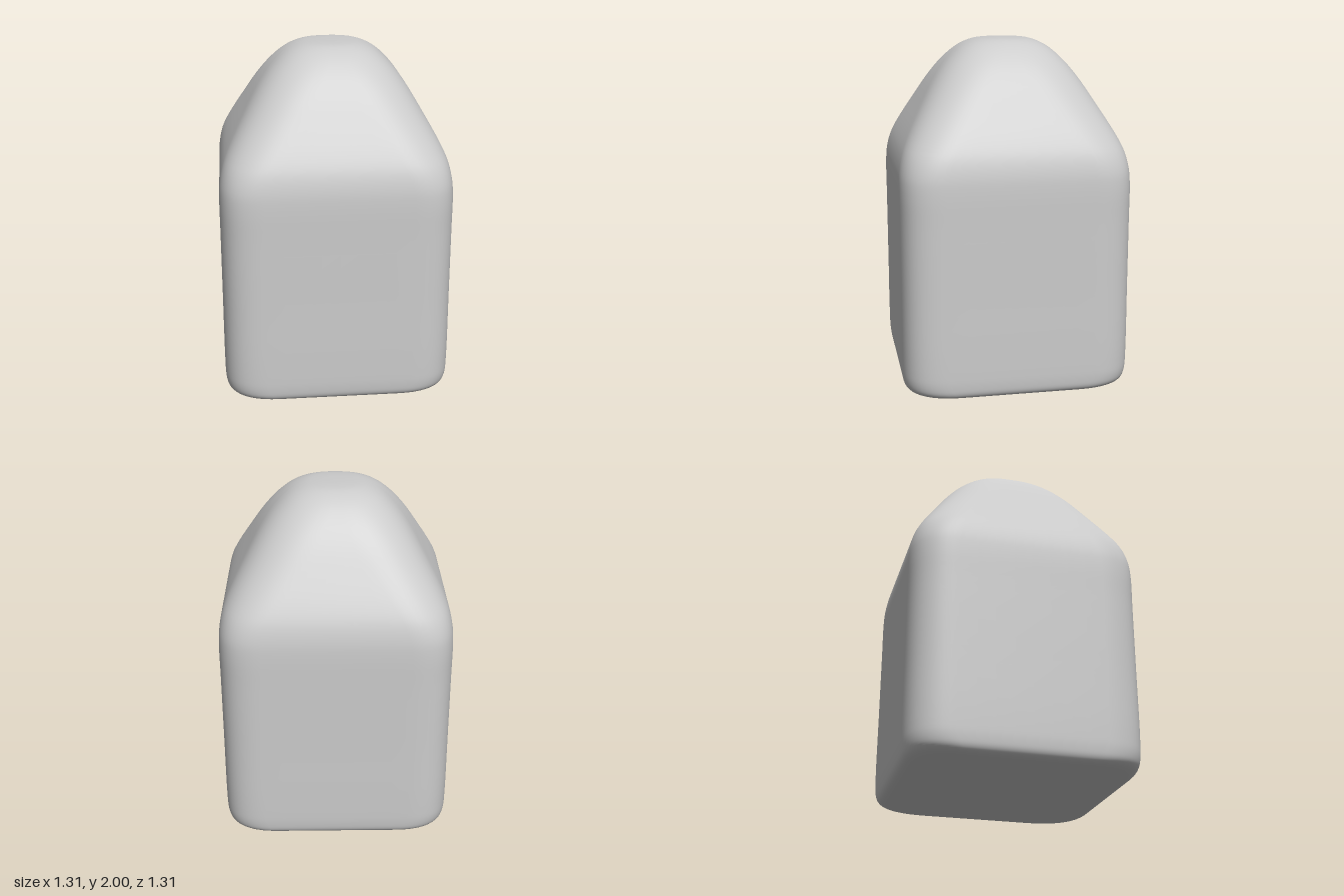
import * as THREE from 'three';

// Each row: half width, height, corner softness (0 = square, 1 = fully rounded)
const PROFILE = [
  [0, 0, 0.6], [0.3, 0.002, 0.6], [0.45, 0.005, 0.55], [0.56, 0.012, 0.5], [0.62, 0.026, 0.45],
  [0.644, 0.052, 0.41], [0.653, 0.1, 0.38], [0.656, 0.2, 0.37], [0.656, 0.6, 0.37], [0.656, 1.0, 0.37],
  [0.656, 1.2, 0.37], [0.65, 1.29, 0.38], [0.632, 1.375, 0.41], [0.6, 1.455, 0.46], [0.51, 1.62, 0.58],
  [0.41, 1.785, 0.72], [0.33, 1.885, 0.82], [0.25, 1.953, 0.9], [0.17, 1.988, 0.96], [0.09, 1.998, 1], [0, 2, 1],
];
const FLAT = 4, ROUND = 12, LEVELS = 100;

// Square outline of half width 1 with soft corners, as [x, z] pairs
function softSquare(e) {
  const quarter = [];
  for (let i = 0; i < FLAT; i++) quarter.push([1, ((1 - e) * i) / FLAT]);
  for (let i = 0; i <= ROUND; i++) {
    const t = i / ROUND;
    quarter.push([1 - e * t * t, 1 - e * (1 - t) * (1 - t)]);
  }
  for (let i = 1; i < FLAT; i++) quarter.push([(1 - e) * (1 - i / FLAT), 1]);
  const ring = [];
  for (let k = 0; k < 4; k++) {
    for (const [x, z] of quarter) ring.push([[x, z], [-z, x], [-x, -z], [z, -x]][k]);
  }
  return ring;
}

// Stack of soft squares following the profile, closed by a pole at each end
function loft() {
  const curve = new THREE.CatmullRomCurve3(PROFILE.map((p) => new THREE.Vector3(...p)), false, 'centripetal');
  const position = [0, 0, 0];
  const index = [];
  const n = softSquare(0.5).length;
  const rings = LEVELS - 1;
  for (let j = 1; j < LEVELS; j++) {
    const p = curve.getPoint(j / LEVELS);
    for (const [x, z] of softSquare(Math.min(p.z, 1))) position.push(x * p.x, p.y, z * p.x);
  }
  position.push(0, 2, 0);
  const top = rings * n + 1;
  for (let i = 0; i < n; i++) {
    const k = (i + 1) % n;
    index.push(0, 1 + i, 1 + k);
    for (let j = 0; j < rings - 1; j++) {
      const a = 1 + j * n + i, b = 1 + j * n + k;
      index.push(a, a + n, b, b, a + n, b + n);
    }
    index.push(top - n + i, top, top - n + k);
  }
  const geometry = new THREE.BufferGeometry();
  geometry.setAttribute('position', new THREE.Float32BufferAttribute(position, 3));
  geometry.setIndex(index);
  geometry.computeVertexNormals();
  return geometry;
}

export function createModel() {
  const group = new THREE.Group();
  group.name = 'taperedBlock';
  const body = new THREE.Mesh(loft(), new THREE.MeshStandardMaterial({ color: 0xcccccc }));
  body.name = 'body';
  group.add(body);
  return group;
}
